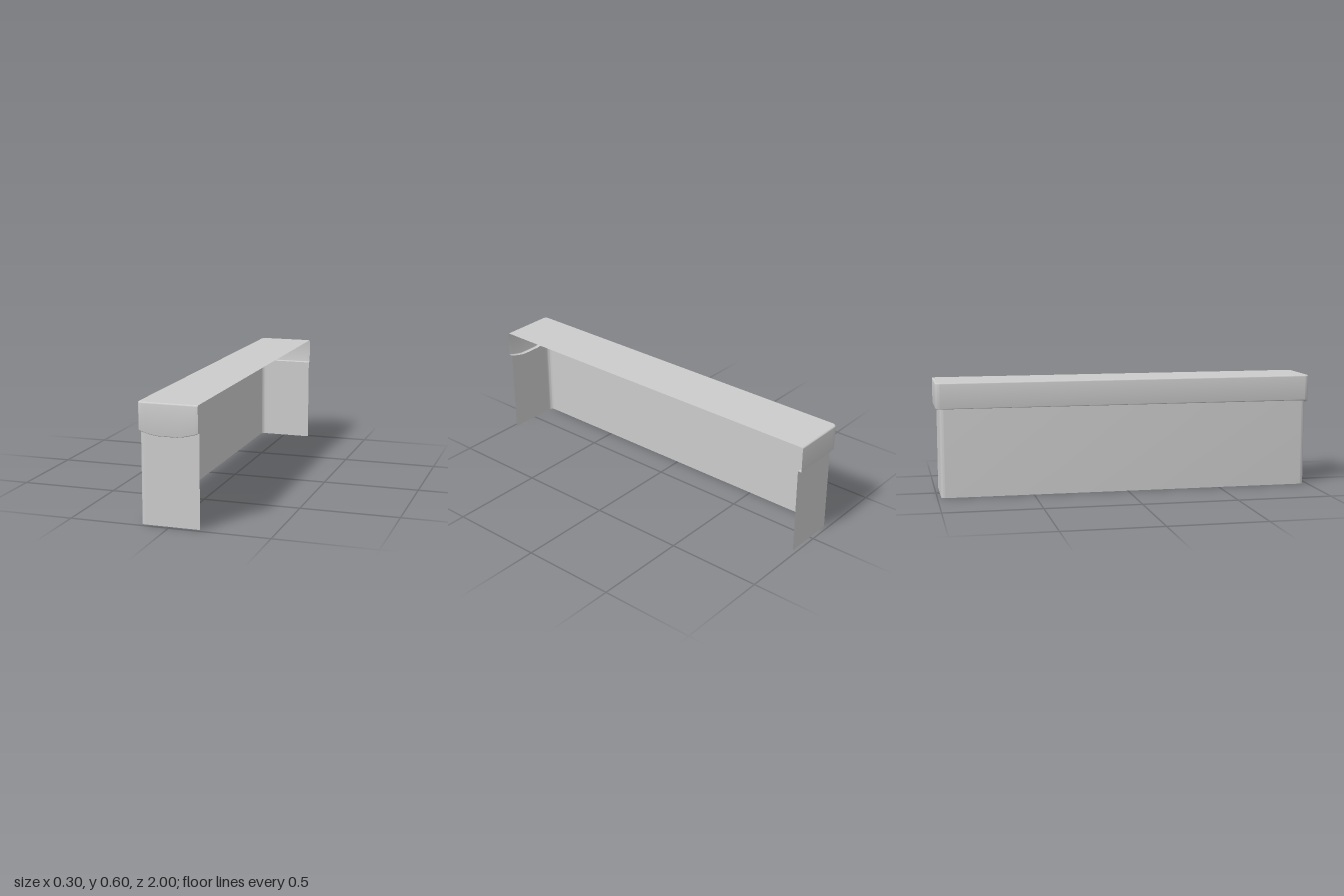
import * as THREE from 'three';
import { toCreasedNormals } from 'three/addons/utils/BufferGeometryUtils.js';

const SIDE = 0.15;    // half width; the +x side is open
const CORNER = 0.025; // radius of the two upright corners
const BEVEL = 0.007;  // rounding of the lid edges

const material = new THREE.MeshStandardMaterial({ color: 0xcccccc, side: THREE.DoubleSide });

// U-shaped outline seen from above: front end, long wall, back end
function outline(wallX, endZ, r) {
  const front = [];
  for (let i = 0; i <= 16; i++) {
    front.push([THREE.MathUtils.lerp(SIDE, wallX + r, i / 16), endZ]);
  }
  for (let i = 1; i <= 6; i++) {
    const a = (i / 6) * Math.PI / 2;
    front.push([wallX + r - r * Math.sin(a), endZ - r + r * Math.cos(a)]);
  }
  return [...front, ...front.map(([x, z]) => [x, -z]).reverse()];
}

// Lower edge of the lid: dips on the front end, level elsewhere
function lidEdge(x, z) {
  if (z <= 0) return 0.46;
  const t = THREE.MathUtils.clamp((Math.abs(x) - 0.05) / 0.1, 0, 1);
  return 0.437 + 0.023 * Math.pow(t, 1.3);
}

// One ring of points; height is a number or a rule on x and z
function ring(plan, height) {
  return plan.map(([x, z]) => [x, typeof height === 'number' ? height : height(x, z), z]);
}

// Surface through successive rings of equal length
function loft(name, rings) {
  const n = rings[0].length;
  const index = [];
  for (let j = 0; j < rings.length - 1; j++) {
    for (let i = 0; i < n - 1; i++) {
      const a = j * n + i, b = a + 1, c = a + n, d = c + 1;
      index.push(a, c, b, b, c, d);
    }
  }
  const geometry = new THREE.BufferGeometry();
  geometry.setAttribute('position', new THREE.Float32BufferAttribute(rings.flat(2), 3));
  geometry.setIndex(index);
  const mesh = new THREE.Mesh(toCreasedNormals(geometry, 0.65), material);
  mesh.name = name;
  return mesh;
}

export function createModel() {
  const group = new THREE.Group();
  group.name = 'openSidedBox';

  const bodyPlan = outline(-0.145, 0.98, 0.022);
  const lidPlan = (inset) => outline(-SIDE + inset, 1 - inset, CORNER - inset);

  // Thin walls under the lid
  group.add(loft('walls', [ring(bodyPlan, 0), ring(bodyPlan, lidEdge)]));

  // Ledge, lid skirt and its rounded upper edge
  const small = 0.004;
  const rings = [ring(bodyPlan, lidEdge)];
  for (let i = 0; i <= 3; i++) {
    const a = (i / 3) * Math.PI / 2;
    rings.push(ring(lidPlan(small * (1 - Math.sin(a))),
      (x, z) => lidEdge(x, z) + small * (1 - Math.cos(a))));
  }
  const top = 0.595;
  for (let i = 0; i <= 4; i++) {
    const a = (i / 4) * Math.PI / 2;
    rings.push(ring(lidPlan(BEVEL * (1 - Math.cos(a))), top - BEVEL * (1 - Math.sin(a))));
  }
  group.add(loft('lidSkirt', rings));

  // Flat top spanning between the front and back halves of the last ring
  const last = rings[rings.length - 1];
  const half = last.length / 2;
  group.add(loft('lidTop', [last.slice(0, half), last.slice(half).reverse()]));

  return group;
}
